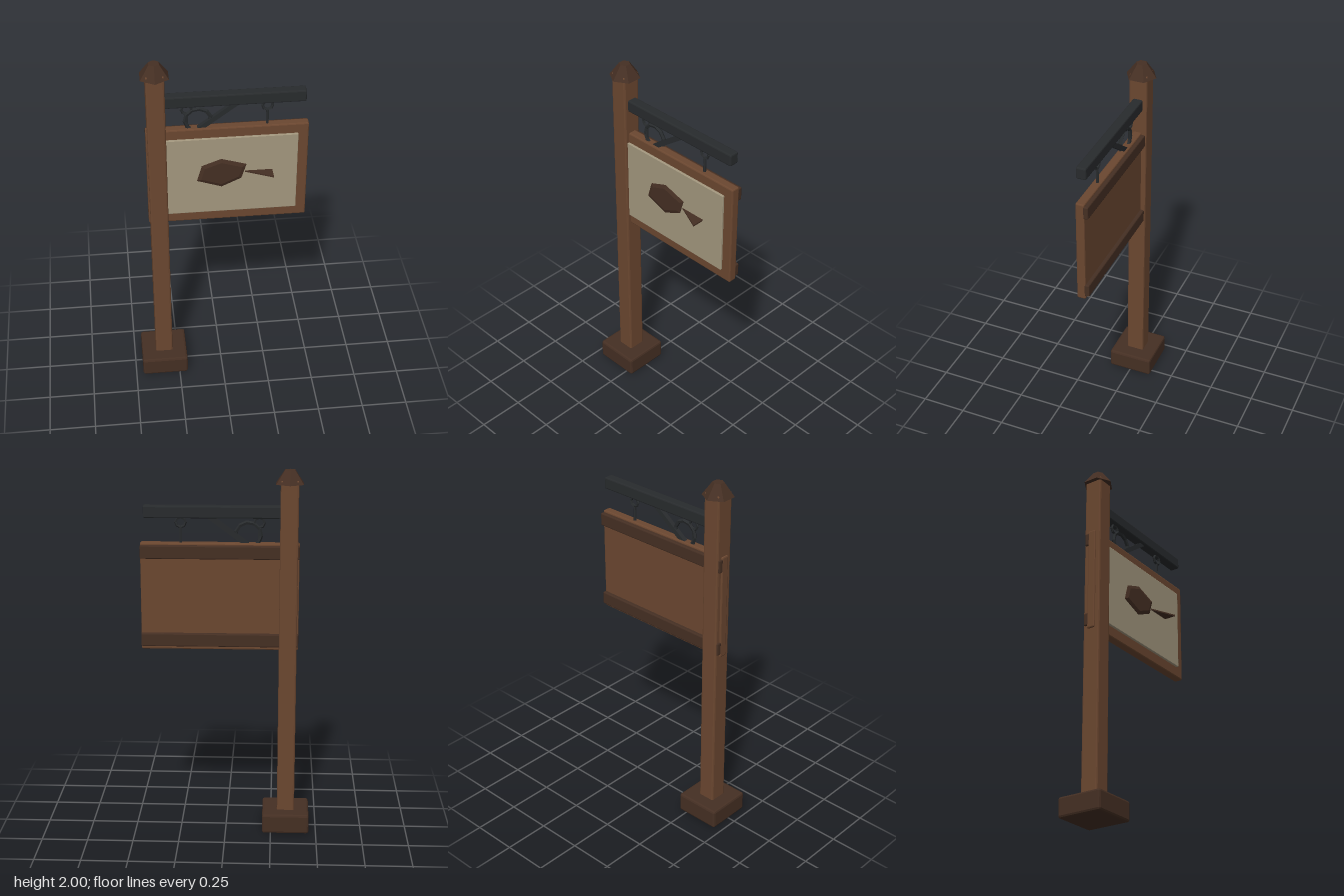
import * as THREE from 'three';
import { RoundedBoxGeometry } from 'three/addons/geometries/RoundedBoxGeometry.js';

const material = (color) => new THREE.MeshStandardMaterial({ color, flatShading: true });

export function createModel() {
  const model = new THREE.Group();
  const wood = material(0x6b4730);
  const darkWood = material(0x452f23);
  const iron = material(0x282b2d);
  const cream = material(0xa3977e);

  function add(name, geometry, mat, x = 0, y = 0, z = 0) {
    const mesh = new THREE.Mesh(geometry, mat);
    mesh.name = name;
    mesh.position.set(x, y, z);
    model.add(mesh);
    return mesh;
  }

  // Chamfered beam given by its extents on each axis
  function beam(name, mat, [x0, x1], [y0, y1], [z0, z1], bevel) {
    const geometry = new RoundedBoxGeometry(x1 - x0, y1 - y0, z1 - z0, 1, bevel);
    return add(name, geometry, mat, (x0 + x1) / 2, (y0 + y1) / 2, (z0 + z1) / 2);
  }

  // Post with footing and six-sided cap
  const postX = -0.332;
  beam('base', darkWood, [-0.46, -0.203], [0, 0.11], [-0.127, 0.127], 0.012);
  beam('post', wood, [-0.38, -0.284], [0.09, 1.95], [-0.05, 0.05], 0.009);
  add('postCap', new THREE.CylinderGeometry(0.03, 0.083, 0.073, 6), darkWood, postX, 1.9635, 0);

  // Iron arm
  beam('arm', iron, [-0.3, 0.436], [1.745, 1.81], [-0.027, 0.027], 0.007);

  // Diagonal brace under the arm
  const from = new THREE.Vector2(-0.285, 1.475);
  const to = new THREE.Vector2(0.085, 1.75);
  const brace = add('brace', new THREE.BoxGeometry(from.distanceTo(to), 0.026, 0.024), iron,
    (from.x + to.x) / 2, (from.y + to.y) / 2, 0);
  brace.rotation.z = to.clone().sub(from).angle();

  // Scroll arching from the post side to the brace
  const scroll = add('scroll', new THREE.TorusGeometry(0.067, 0.011, 5, 8, Math.PI * 1.5), iron,
    -0.117, 1.655, 0);
  scroll.rotation.z = -Math.PI * 0.1;

  // Hanging rings and rods
  for (const x of [-0.175, 0.24]) {
    add('hangerRing', new THREE.TorusGeometry(0.026, 0.008, 5, 8), iron, x, 1.721, 0);
    add('hangerRod', new THREE.CylinderGeometry(0.008, 0.008, 0.1, 6), iron, x, 1.649, 0);
  }

  // Sign board with painted panel and back battens
  beam('board', wood, [-0.388, 0.455], [1.03, 1.613], [-0.023, 0.025], 0.007);
  beam('panel', cream, [-0.335, 0.4], [1.09, 1.557], [0.01, 0.037], 0.003);
  for (const y of [1.05, 1.53]) {
    beam('backBatten', darkWood, [-0.388, 0.455], [y, y + 0.072], [-0.043, -0.015], 0.006);
  }

  // Fish emblem: a faceted, flattened body
  const outline = [[-0.107, 0.043], [0, 0.083], [0.132, 0.042], [0.11, -0.03], [0, -0.082], [-0.13, -0.037]];
  const body = new THREE.Shape(outline.map(([x, y]) => new THREE.Vector2(x * 0.82, y * 0.82)));
  add('fishBody', new THREE.ExtrudeGeometry(body, {
    depth: 0.004, bevelEnabled: true, bevelSegments: 1, bevelThickness: 0.007, bevelSize: 0.018,
  }), darkWood, 0, 1.342, 0.037);

  // Tail fin lying level and reaching out from the panel
  const fin = new THREE.Shape([[0.12, -0.035], [0.268, -0.105], [0.268, -0.005]]
    .map(([x, y]) => new THREE.Vector2(x, y)));
  const tail = add('fishTail', new THREE.ExtrudeGeometry(fin, { depth: 0.008, bevelEnabled: false }),
    darkWood, 0, 1.338, 0);
  tail.rotation.x = -Math.PI / 2;

  return model;
}
